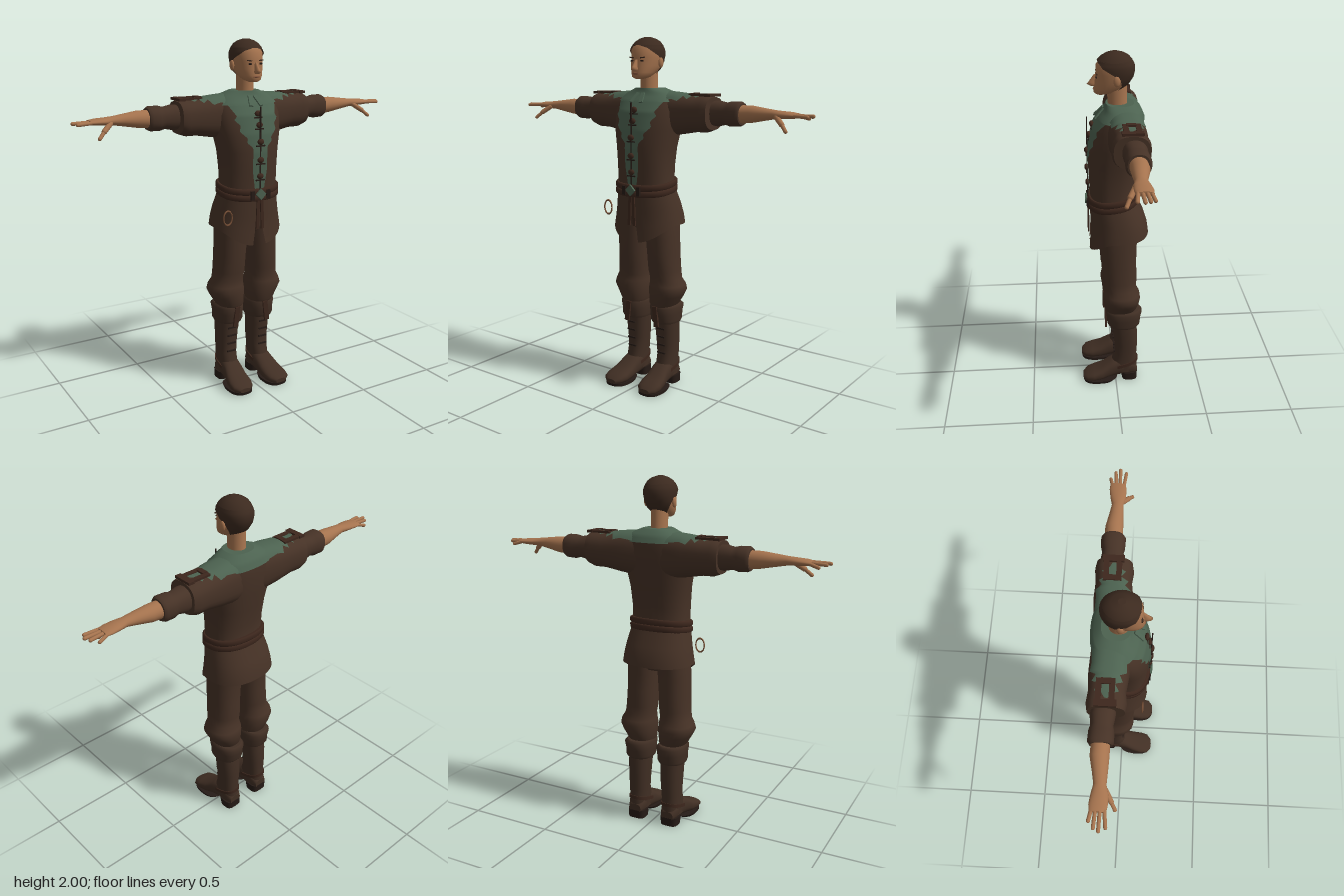
import * as THREE from 'three';

const material = (name, color, side = THREE.FrontSide) => {
  const m = new THREE.MeshStandardMaterial({ color, side });
  m.name = name;
  return m;
};
const cloth = material('brown cloth', 0x463226, THREE.DoubleSide);
const leather = material('brown leather', 0x412f24);
const strapMat = material('red brown strap', 0x3d271d);
const green = material('green cloth', 0x4c6250, THREE.DoubleSide);
const skin = material('skin', 0xa5734e);
const hairMat = material('hair', 0x3c2a1f, THREE.DoubleSide);
const dark = material('dark trim', 0x261b16);
const bronze = material('bronze', 0x7a5238);
const lip = material('lip', 0x83553c);

// Rows are [s, u0, u1, v0, v1, from, to]: station, extents, optional angle range.
// Axis y: u=x v=z.  Axis x: u=z v=y.  Axis z: u=y v=x.  Angle 0 points to +v.
function loft(axis, rows, { n = 2, seg = 28, warp, cap = true } = {}) {
  const open = rows[0].length > 5, pos = [], idx = [], cols = open ? seg + 1 : seg;
  const put = (u, s, v) => {
    const p = axis === 'y' ? [u, s, v] : axis === 'x' ? [s, v, u] : [v, u, s];
    if (warp) warp(p);
    pos.push(...p);
  };
  const pow = (k) => Math.sign(k) * Math.abs(k) ** (2 / n);
  const ring = ([s, u0, u1, v0, v1, from = 0, to = 2 * Math.PI]) => {
    for (let j = 0; j < cols; j++) {
      const t = from + (to - from) * j / seg;
      put((u0 + u1) / 2 + (u1 - u0) / 2 * pow(Math.sin(t)), s, (v0 + v1) / 2 + (v1 - v0) / 2 * pow(Math.cos(t)));
    }
  };
  rows.forEach(ring);
  for (let i = 0; i < rows.length - 1; i++) for (let j = 0; j < seg; j++) {
    const k = (j + 1) % cols, a = i * cols + j, b = i * cols + k;
    idx.push(a, b, a + cols, b, b + cols, a + cols);
  }
  if (cap && !open) for (const end of [0, rows.length - 1]) {
    const r = rows[end], base = pos.length / 3;
    ring(r);
    put((r[1] + r[2]) / 2, r[0], (r[3] + r[4]) / 2);
    for (let j = 0; j < seg; j++) {
      const a = base + j, b = base + (j + 1) % seg;
      end ? idx.push(a, b, base + seg) : idx.push(b, a, base + seg);
    }
  }
  const g = new THREE.BufferGeometry();
  g.setAttribute('position', new THREE.Float32BufferAttribute(pos, 3));
  g.setIndex(idx);
  g.computeVertexNormals();
  return g;
}

const sample = (rows, s) => {
  let i = 0;
  while (i < rows.length - 2 && rows[i + 1][0] < s) i++;
  const k = (s - rows[i][0]) / (rows[i + 1][0] - rows[i][0]);
  return rows[i].map((v, j) => v + (rows[i + 1][j] - v) * k);
};
const grow = ([s, a, b, c, d], e) => [s, a - e, b + e, c - e, d + e];
const box = (w, h, d, x, y, z, rz = 0, rx = 0) => new THREE.BoxGeometry(w, h, d).rotateZ(rz).rotateX(rx).translate(x, y, z);
const ball = (rx, ry, rz, x, y, z) => new THREE.SphereGeometry(1, 14, 10).scale(rx, ry, rz).translate(x, y, z);

// Rounded rod between two points
function rod(a, b, r) {
  const p = new THREE.Vector3(...a), q = new THREE.Vector3(...b), d = q.clone().sub(p);
  const turn = new THREE.Quaternion().setFromUnitVectors(new THREE.Vector3(0, 1, 0), d.clone().normalize());
  const mid = p.add(q).multiplyScalar(0.5);
  return new THREE.CapsuleGeometry(r, d.length(), 4, 10).applyQuaternion(turn).translate(mid.x, mid.y, mid.z);
}

function mirrored(g) {
  const m = g.clone().scale(-1, 1, 1);
  const idx = g.index ? Array.from(g.index.array) : [...Array(g.attributes.position.count).keys()];
  for (let i = 0; i < idx.length; i += 3) [idx[i], idx[i + 1]] = [idx[i + 1], idx[i]];
  m.setIndex(idx);
  return m;
}

export function createModel() {
  const root = new THREE.Group();
  const add = (name, g, mat) => {
    const m = new THREE.Mesh(g, mat);
    m.name = name;
    root.add(m);
  };
  const pair = (name, g, mat) => {
    add(name + 'Left', g, mat);
    add(name + 'Right', mirrored(g), mat);
  };

  // Tunic body and upper sleeves
  const torso = [[1.12, -.172, .172, -.135, .135], [1.2, -.163, .163, -.115, .135], [1.3, -.165, .165, -.12, .14],
    [1.4, -.172, .172, -.135, .145], [1.5, -.192, .192, -.15, .138], [1.6, -.2, .2, -.16, .115],
    [1.66, -.185, .185, -.155, .08], [1.7, -.14, .14, -.135, .045], [1.725, -.075, .075, -.1, .04]];
  const bar = [[0, -.14, .05, 1.46, 1.7], [.1, -.155, .05, 1.46, 1.705], [.2, -.16, .045, 1.475, 1.697],
    [.3, -.155, .032, 1.492, 1.685], [.36, -.162, .04, 1.493, 1.69], [.4, -.155, .032, 1.508, 1.682]];
  add('tunicBody', loft('y', torso.slice(0, 7), { n: 2.4, seg: 36 }), cloth);
  pair('upperSleeve', loft('x', bar, { n: 2.5 }), cloth);
  pair('lowerSleeve', loft('x', [[.37, -.13, -.01, 1.535, 1.66], [.42, -.138, -.012, 1.528, 1.665], [.47, -.132, -.02, 1.538, 1.655],
    [.5, -.14, -.014, 1.53, 1.663], [.55, -.142, -.012, 1.532, 1.664], [.565, -.132, -.022, 1.54, 1.655]], { n: 2.3 }), cloth);

  // Green yoke with ragged edges
  const yokeTop = [1.655, 1.68, 1.7, 1.725].map((y) => grow(sample(torso, y), .006));
  add('yokeNeck', loft('y', yokeTop, { n: 2.4, seg: 36 }), green);
  const ragged = [[0, 1], [.1, 1], [.18, .85], [.22, .95], [.24, .5], [.27, .75], [.285, .3], [.32, .55], [.335, .15], [.36, .04]];
  pair('yokeShoulder', loft('x', ragged.map(([x, a]) => [...grow(sample(bar, x), .006), -a, a]), { n: 2.5, seg: 14 }), green);
  const edge = [[1.2, .03], [1.3, .045], [1.43, .045], [1.46, .08], [1.48, .072], [1.52, .115], [1.55, .105], [1.58, .135], [1.6, .12], [1.64, .14], [1.67, .155]];
  const panel = new THREE.PlaneGeometry(2, 1, 16, 48), pp = panel.attributes.position;
  for (let i = 0; i < pp.count; i++) {
    const y = 1.2 + (pp.getY(i) + .5) * .47, x = pp.getX(i) * sample(edge, y)[1];
    const [, , rx, z0, z1] = sample(torso, y);
    const k = (1 - Math.min(1, Math.abs(x) / rx) ** 2.4) ** (1 / 2.4);
    pp.setXYZ(i, x, y, (z0 + z1) / 2 + (z1 - z0) / 2 * k + .006);
  }
  panel.computeVertexNormals();
  add('yokeFront', panel, green);
  pair('collarFlap', box(.022, .07, .008, .024, 1.675, .083, .25, -.75), green);
  add('neckOpening', box(.007, .46, .006, 0, 1.42, .148), dark);
  for (const [y, z] of [[1.61, .122], [1.55, .138], [1.46, .152], [1.36, .152], [1.27, .148]]) {
    add('toggle', ball(.02, .017, .012, 0, y, z), strapMat);
    add('toggleCord', box(.055, .007, .008, 0, y - .022, z), dark);
  }

  // Shoulder straps
  for (const z of [-.1, -.035]) pair('shoulderStrap', box(.14, .012, .028, .33, 1.692, z), strapMat);
  pair('shoulderTab', box(.035, .014, .11, .385, 1.692, -.065), strapMat);
  pair('shoulderBuckle', box(.03, .016, .05, .275, 1.694, -.065), strapMat);

  // Tunic skirt, slit at the front and longer there
  const skirt = [[1.2, .163, -.12, .132, .03], [1.14, .176, -.14, .137, .05], [1.08, .188, -.168, .134, .07], [1.02, .199, -.186, .138, .1], [.97, .207, -.193, .145, .16]]
    .reverse().map(([y, r, z0, z1, a]) => [y, -r, r, z0, z1, a, 2 * Math.PI - a]);
  add('tunicSkirt', loft('y', skirt, {
    n: 2.3, seg: 40,
    warp: (p) => { p[1] -= (1.2 - p[1]) / .23 * .09 * Math.max(0, p[2] / .14) ** 2; },
  }), cloth);

  // Belt
  const tilt = (p) => { p[1] -= p[2] * .13; };
  for (const y of [1.165, 1.2]) add('belt', loft('y', [[y - .017, -.172, .172, -.132, .144], [y - .01, -.18, .18, -.138, .152],
    [y + .01, -.18, .18, -.138, .152], [y + .017, -.172, .172, -.132, .144]], { n: 2.3, seg: 36, warp: tilt }), strapMat);
  add('buckle', box(.045, .045, .012, 0, 1.17, .157, Math.PI / 4), green);
  pair('beltStud', box(.022, .05, .012, .05, 1.165, .15), dark);
  pair('beltTail', box(.018, .17, .008, .014, 1.055, .146, .04), strapMat);
  add('beltRing', new THREE.TorusGeometry(.038, .005, 8, 28).scale(.7, 1.05, 1).translate(-.19, 1.05, .12), bronze);

  // Trousers
  add('trouserSeat', loft('y', [[.93, -.1, .1, -.1, .06], [.97, -.17, .17, -.128, .09], [1.12, -.165, .165, -.12, .1]]), cloth);
  pair('trouserLeg', loft('y', [[.475, .035, .165, -.105, .045], [.5, .022, .182, -.125, .062], [.55, .018, .212, -.138, .068],
    [.585, .016, .23, -.142, .074], [.615, .02, .222, -.138, .068], [.65, .024, .203, -.118, .06], [.7, .018, .196, -.122, .072],
    [.8, .014, .19, -.12, .08], [.9, .006, .189, -.12, .085], [1.02, .002, .18, -.13, .09]], { n: 2.2 }), cloth);

  // Boots
  pair('bootCuff', loft('y', [[.385, .028, .18, -.135, .04], [.4, .022, .186, -.145, .048], [.44, .02, .186, -.148, .052],
    [.48, .018, .192, -.157, .058], [.495, .03, .178, -.14, .045]], { n: 2.3 }), leather);
  pair('cuffStrap', box(.03, .12, .012, .1, .43, .056, .12), strapMat);
  pair('bootShaft', loft('y', [[.06, .052, .163, -.13, .03], [.12, .052, .163, -.13, .025], [.18, .05, .164, -.128, .005],
    [.25, .045, .166, -.132, .006], [.33, .04, .17, -.13, .014], [.4, .036, .172, -.125, .02]], { n: 2.3 }), leather);
  pair('bootFoot', loft('z', [[-.13, .035, .09, .07, .145], [-.1, .03, .13, .055, .16], [-.02, .025, .155, .05, .165], [.03, .018, .13, .05, .17],
    [.08, .01, .095, .05, .182], [.13, .008, .075, .05, .19], [.17, .01, .06, .06, .185], [.195, .014, .04, .09, .155]], { n: 2.5 }), leather);
  pair('bootSole', loft('y', [[0, .05, .188, .01, .195], [.016, .05, .19, -.01, .198]], { n: 2.6 }), dark);
  pair('bootHeel', loft('y', [[0, .056, .16, -.13, -.04], [.05, .054, .163, -.132, -.03]], { n: 3.5 }), dark);
  pair('ankleStrap', loft('y', [[.085, .046, .169, -.136, .045], [.105, .046, .169, -.136, .04]], { n: 2.4, warp: (p) => { p[1] -= p[2] * .3; } }), strapMat);
  for (const y of [.2, .25, .3, .35]) pair('bootLace', box(.055, .009, .008, .107, y, .008 + (y - .2) * .06), dark);

  // Arms and hands
  pair('forearm', loft('x', [[.53, -.122, -.03, 1.547, 1.645], [.62, -.125, -.03, 1.555, 1.645], [.7, -.108, -.033, 1.57, 1.635],
    [.755, -.098, -.036, 1.58, 1.628], [.8, -.108, -.025, 1.583, 1.624], [.85, -.115, -.024, 1.586, 1.621], [.885, -.112, -.03, 1.59, 1.615]]), skin);
  for (const [z0, z1, x, y] of [[-.1, -.112, .925, 1.588], [-.081, -.087, .958, 1.6], [-.06, -.062, .972, 1.604], [-.04, -.03, .955, 1.6]])
    pair('finger', rod([.87, 1.603, z0], [x, y, z1], .0095), skin);
  pair('thumbBase', rod([.78, 1.594, -.04], [.825, 1.56, -.012], .014), skin);
  pair('thumb', rod([.825, 1.56, -.012], [.858, 1.528, .008], .01), skin);

  // Head
  add('neck', loft('y', [[1.67, -.056, .056, -.085, .045], [1.72, -.046, .046, -.07, .034], [1.83, -.046, .046, -.068, .04]]), skin);
  const head = [[1.776, -.025, .025, .045, .095], [1.786, -.046, .046, .005, .108], [1.81, -.062, .062, -.045, .109], [1.845, -.074, .074, -.085, .104],
    [1.89, -.08, .08, -.1, .098], [1.93, -.08, .08, -.1, .096], [1.965, -.066, .066, -.08, .072], [1.985, -.04, .04, -.05, .04]];
  add('head', loft('y', head, { n: 2.15 }), skin);
  const hairline = [[1.8, 2.45], [1.83, 2.15], [1.87, 1.85], [1.9, 1.4], [1.925, .95], [1.94, .7], [1.95, .3], [1.958, 0]];
  add('hair', loft('y', hairline.map(([y, a]) => [...grow(sample(head, y), .009), a, 2 * Math.PI - a]), { n: 2.15 }), hairMat);
  add('hairTop', loft('y', [[1.955, -.081, .081, -.096, .09], [1.975, -.067, .067, -.08, .07], [1.99, -.045, .045, -.055, .045], [2, -.016, .016, -.022, .016]]), hairMat);
  add('nose', loft('y', [[1.82, -.011, .011, .08, .126], [1.829, -.016, .016, .08, .144], [1.84, -.012, .012, .08, .135], [1.88, -.007, .007, .08, .106]], { seg: 12 }), skin);
  pair('ear', ball(.011, .028, .018, .086, 1.862, -.008), skin);
  pair('eye', ball(.013, .005, .004, .032, 1.872, .094), dark);
  pair('brow', box(.032, .006, .007, .034, 1.889, .092, .1), hairMat);
  add('mouth', ball(.021, .005, .004, 0, 1.804, .108), lip);
  return root;
}
